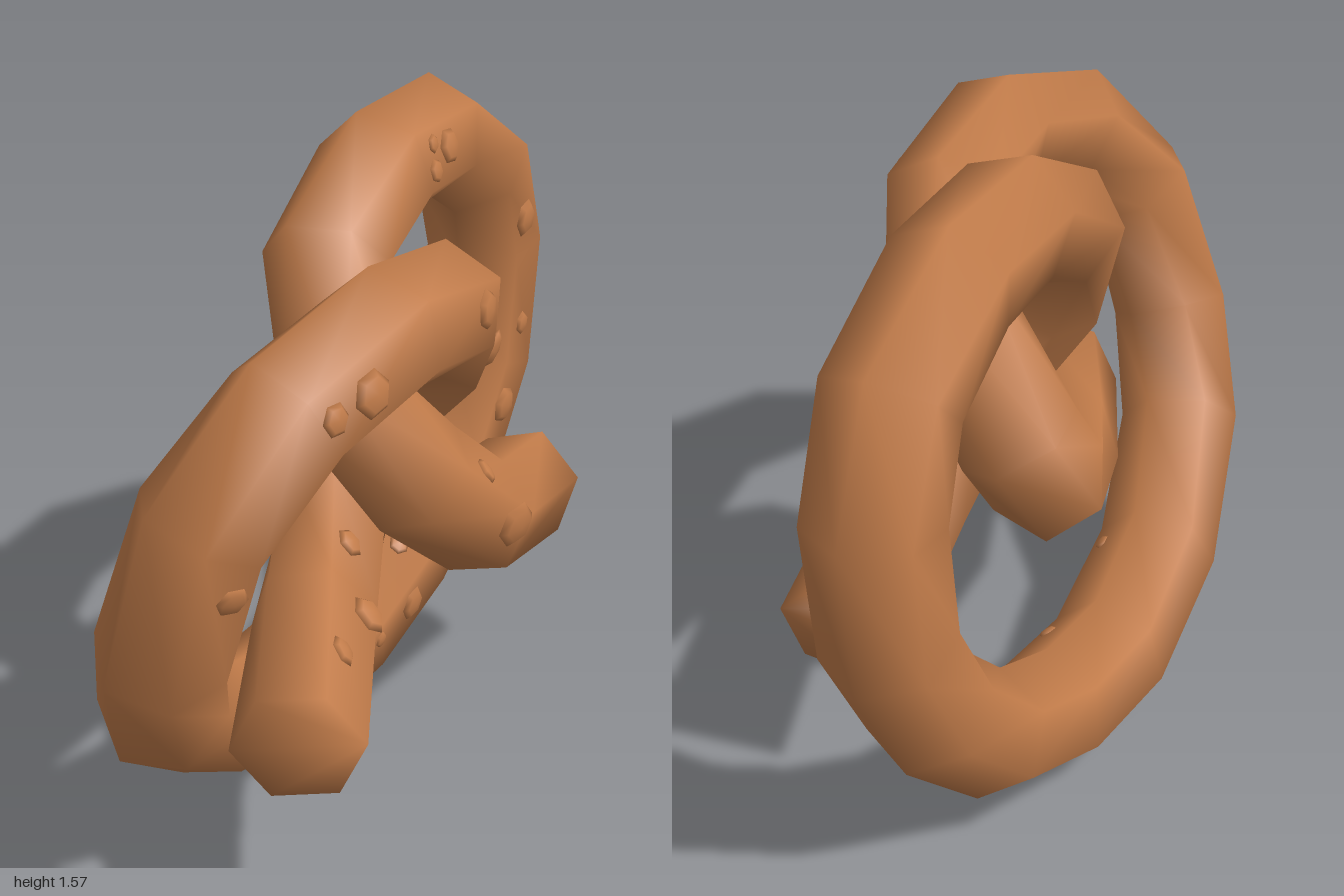
import * as THREE from 'three';

const SIDES = 6;
const RADIUS = 0.15;
const ROLL = -0.34; // turn of the six-sided section, reached past the left arm

// Centre line of the rope: left arm, left loop, bottom, right loop, right arm
const PATH = [
  [-0.69, 0.475, 0.33], [-0.31, 0.538, 0.06], [0.035, 0.685, -0.15], [0.135, 0.835, -0.14],
  [0.1, 1.1, 0.09], [-0.06, 1.26, 0.22], [-0.365, 1.31, 0.3], [-0.66, 1.23, 0.29],
  [-0.84, 1.02, 0.21], [-0.858, 0.69, 0.1], [-0.725, 0.455, -0.03], [-0.44, 0.245, -0.16],
  [-0.1, 0.153, -0.245], [0.2, 0.172, -0.28], [0.47, 0.28, -0.305], [0.69, 0.49, -0.315],
  [0.82, 0.735, -0.315], [0.855, 1.045, -0.315], [0.76, 1.285, -0.29], [0.515, 1.43, -0.247],
  [0.215, 1.43, -0.175], [-0.05, 1.3, -0.11], [-0.17, 1.04, 0.02], [-0.035, 0.81, 0.145],
  [0.22, 0.61, 0.13], [0.61, 0.51, 0],
].map((p) => new THREE.Vector3(...p));

// Grains on the front: x, y, radius
const GRAINS = [
  [-0.66, 1.25, 0.037], [-0.55, 1.27, 0.053], [-0.07, 1.29, 0.047], [0.07, 1.135, 0.047],
  [-0.85, 0.885, 0.038], [-0.48, 0.6, 0.038], [-0.29, 0.58, 0.05], [-0.19, 0.68, 0.038],
  [0.095, 0.81, 0.035], [0.2, 0.635, 0.06], [0.3, 1.49, 0.024], [0.29, 1.43, 0.03],
  [0.375, 1.465, 0.045], [0.84, 1.14, 0.05], [0.855, 0.84, 0.032], [0.775, 0.63, 0.052],
  [0.375, 0.355, 0.028], [0.355, 0.21, 0.047], [0.2, 0.175, 0.023], [0.055, 0.15, 0.052],
  [0.02, 0.23, 0.024], [-0.035, 0.135, 0.022], [-0.25, 0.19, 0.032], [-0.33, 0.175, 0.035],
  [-0.32, 0.28, 0.022],
];

// Rope skinned from one ring per path point; the caps share the end rings so their rims shade softly
function ropeGeometry() {
  const pos = [], index = [];
  const last = PATH.length - 1;
  PATH.forEach((c, i) => {
    const t = new THREE.Vector3();
    if (i > 0) t.add(c.clone().sub(PATH[i - 1]).normalize());
    if (i < last) t.add(PATH[i + 1].clone().sub(c).normalize());
    t.normalize();
    const n = new THREE.Vector3(0, 0, 1).addScaledVector(t, -t.z).normalize();
    const s = new THREE.Vector3().crossVectors(t, n);
    const roll = ROLL * Math.min(i / 5, 1);
    for (let j = 0; j < SIDES; j++) {
      const k = (j / SIDES) * Math.PI * 2 + roll;
      const v = c.clone().addScaledVector(n, RADIUS * Math.cos(k)).addScaledVector(s, RADIUS * Math.sin(k));
      pos.push(v.x, v.y, v.z);
    }
  });
  for (let i = 0; i < last; i++) {
    for (let j = 0; j < SIDES; j++) {
      const a = i * SIDES + j, b = i * SIDES + ((j + 1) % SIDES);
      index.push(a, b, a + SIDES, b, b + SIDES, a + SIDES);
    }
  }
  const end = last * SIDES;
  for (let j = 1; j < SIDES - 1; j++) {
    index.push(0, j + 1, j, end, end + j, end + j + 1);
  }
  const g = new THREE.BufferGeometry();
  g.setAttribute('position', new THREE.Float32BufferAttribute(pos, 3));
  g.setIndex(index);
  g.computeVertexNormals();
  return g;
}

export function createModel() {
  const group = new THREE.Group();
  group.name = 'pretzel';
  const crust = new THREE.MeshStandardMaterial({ color: 0xc27c4a });
  crust.name = 'bakedBrown';

  const rope = new THREE.Mesh(ropeGeometry(), crust);
  rope.name = 'twistedDough';
  rope.updateMatrixWorld();

  // Salt grains: flattened six-sided beads resting on the dough
  const grains = new THREE.Group();
  grains.name = 'saltGrains';
  const bead = new THREE.SphereGeometry(1, 6, 4).rotateX(Math.PI / 2);
  const up = new THREE.Vector3(0, 0, 1);
  const ray = new THREE.Raycaster();
  GRAINS.forEach(([x, y, r], i) => {
    ray.set(new THREE.Vector3(x, y, 3), new THREE.Vector3(0, 0, -1));
    const hit = ray.intersectObject(rope)[0];
    if (!hit) return;
    const grain = new THREE.Mesh(bead, crust);
    grain.name = 'saltGrain';
    grain.position.copy(hit.point);
    grain.quaternion.setFromUnitVectors(up, hit.face.normal);
    grain.rotateZ(i * 1.3);
    grain.scale.set(r, r, r * 0.35);
    grains.add(grain);
  });

  group.add(rope, grains);
  return group;
}
